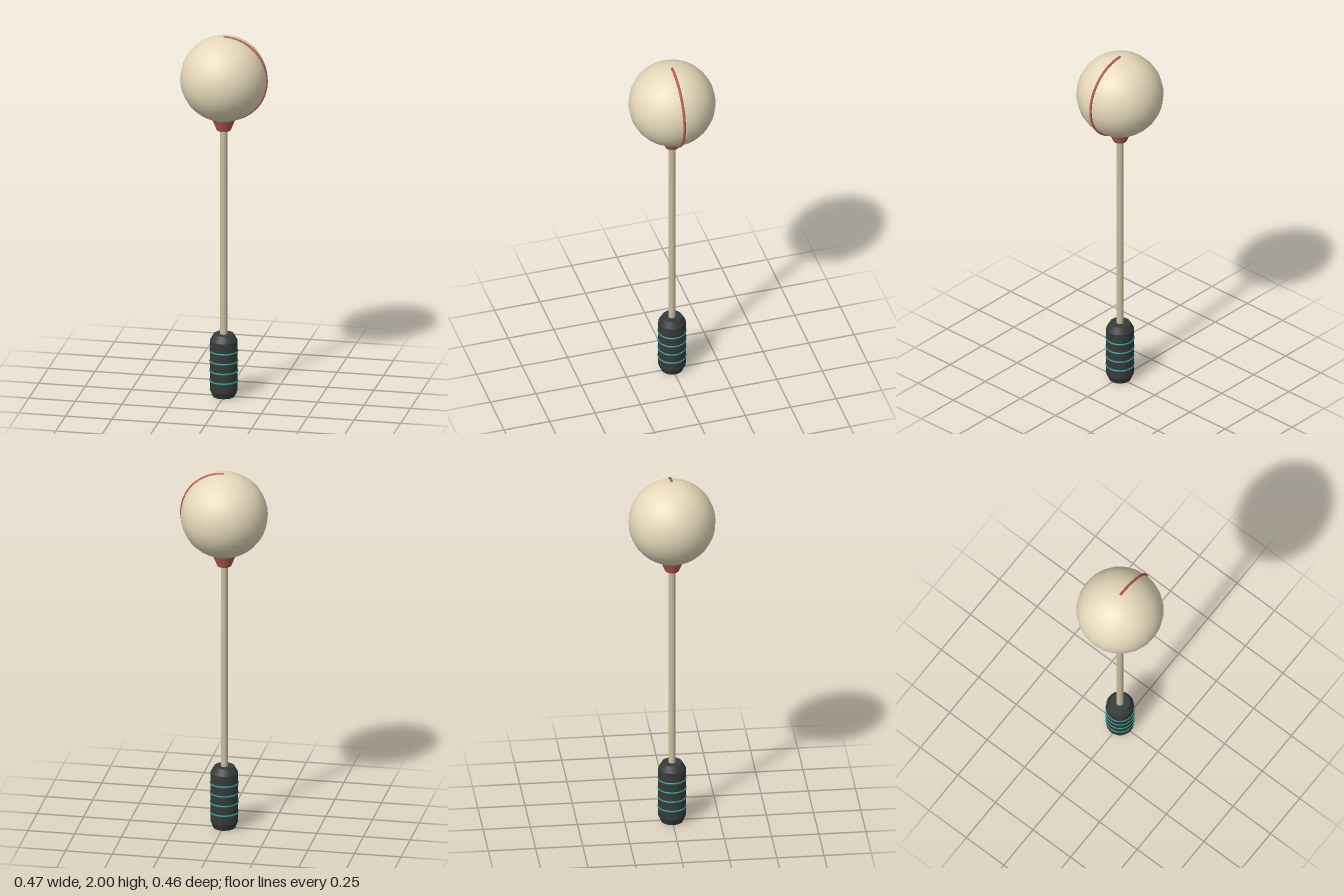
import * as THREE from 'three';

const mat = (color) => new THREE.MeshStandardMaterial({ color });

export function createModel() {
  const model = new THREE.Group();
  const axisX = -0.004;
  const cream = mat(0xe6d9bb), red = mat(0xb95d50), wood = mat(0xcbbd9f);
  const rubber = mat(0x363c3b), teal = mat(0x2f9490);

  const add = (name, geometry, material, y) => {
    const mesh = new THREE.Mesh(geometry, material);
    mesh.name = name;
    mesh.position.set(axisX, y, 0);
    model.add(mesh);
    return mesh;
  };

  // Handle grip: chamfered at both ends; doubled points keep the edges crisp
  const profile = [
    [0, 0], [0.058, 0], [0.058, 0], [0.073, 0.035], [0.073, 0.035],
    [0.073, 0.31], [0.073, 0.31], [0.053, 0.345], [0.053, 0.345], [0, 0.345],
  ].map(([r, y]) => new THREE.Vector2(r, y));
  add('grip', new THREE.LatheGeometry(profile, 24), rubber, 0);

  // Raised rings around the grip
  for (let i = 0; i < 4; i++) {
    const ring = add('gripRing', new THREE.TorusGeometry(0.072, 0.005, 8, 32), teal, 0.087 + i * 0.0545);
    ring.rotation.x = Math.PI / 2;
  }

  // Shaft, running from the grip into the collar
  add('shaft', new THREE.CylinderGeometry(0.019, 0.019, 1.2, 16), wood, 0.93);

  // Flared collar under the ball
  add('collar', new THREE.CylinderGeometry(0.065, 0.037, 0.068, 24), red, 1.511);

  // Ball head
  add('ball', new THREE.SphereGeometry(0.23, 24, 20), cream, 1.763);

  // Half-circle seam along the ball's left side
  const seam = add('seam', new THREE.TorusGeometry(0.23, 0.007, 8, 32, Math.PI), red, 1.763);
  seam.rotation.z = -Math.PI / 2;

  return model;
}
